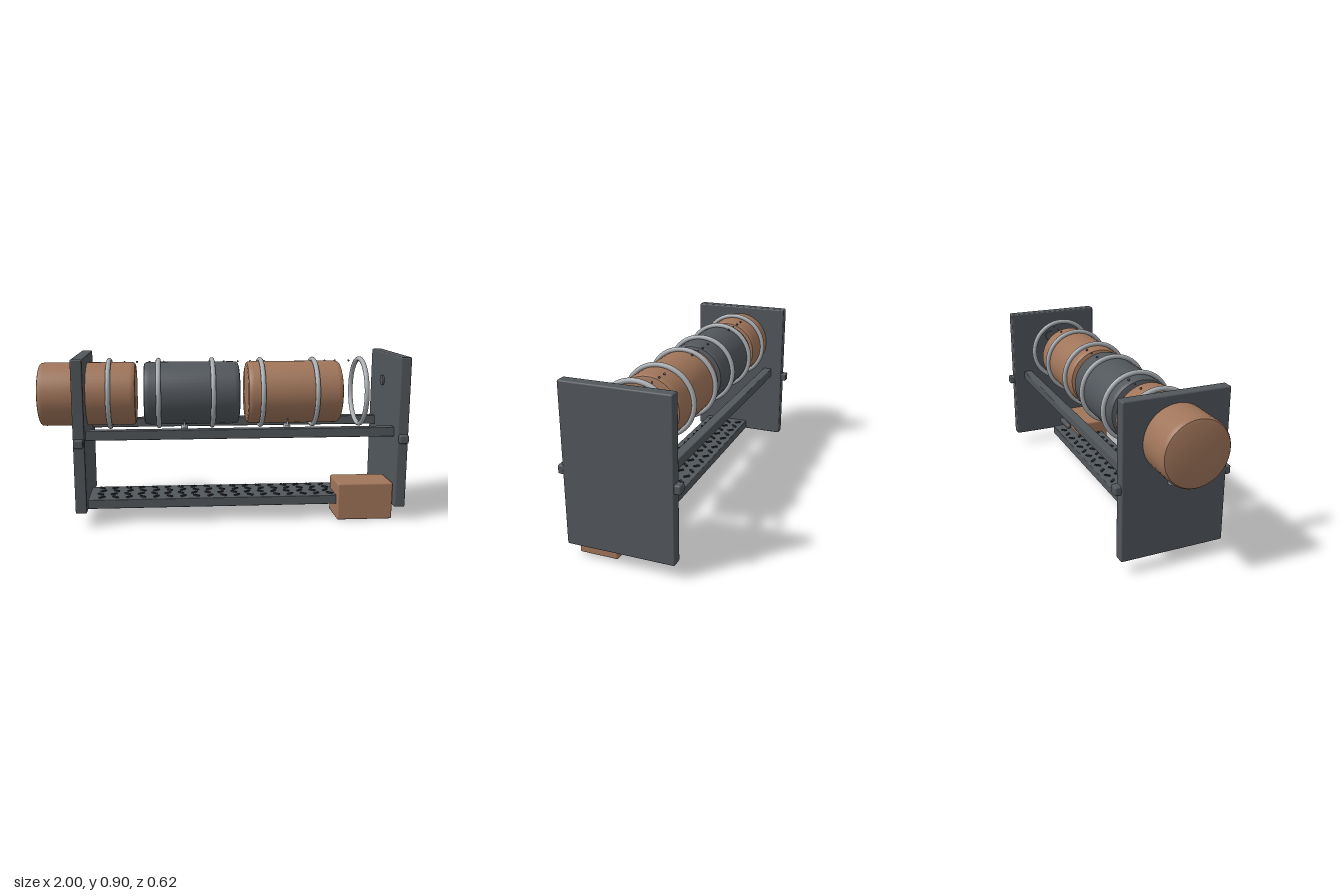
import * as THREE from 'three';
import { RoundedBoxGeometry } from 'three/addons/geometries/RoundedBoxGeometry.js';
import { toCreasedNormals } from 'three/addons/utils/BufferGeometryUtils.js';

function material(name, color) {
  const m = new THREE.MeshStandardMaterial({ color });
  m.name = name;
  return m;
}

export function createModel() {
  const steel = material('dark steel', 0x52575c);
  const copper = material('brown copper', 0xa0755a);
  const silver = material('light metal', 0xa9adb1);
  const black = material('tread black', 0x2b2e31);
  const root = new THREE.Group();
  root.name = 'drumRack';

  function add(name, geometry, mat, x, y, z, parent = root) {
    const mesh = new THREE.Mesh(geometry, mat);
    mesh.name = name;
    mesh.position.set(x, y, z);
    parent.add(mesh);
    return mesh;
  }
  const box = (w, h, d, r) => (r ? new RoundedBoxGeometry(w, h, d, 2, r) : new THREE.BoxGeometry(w, h, d));

  const axisY = 0.687;

  // End plates, each with a cross bar showing as a knob at both edges
  for (const [side, x] of [['right', -0.77], ['left', 0.968]]) {
    add(side + 'EndPlate', box(0.06, 0.826, 0.56, 0.008), steel, x, 0.492, 0);
    for (const s of [-1, 1]) add(side + 'PlateKnob', box(0.05, 0.046, 0.06, 0.008), steel, x, 0.464, s * 0.28);
  }

  // Long rails under the drums
  for (const s of [-1, 1]) add('rail', box(1.72, 0.052, 0.05, 0.004), steel, 0.09, 0.49, s * 0.189);

  // Three drums with softened rims
  const half = 0.263;
  const profile = [
    [0, -half], [0.155, -half], [0.167, -half + 0.004], [0.173, -half + 0.012], [0.175, -half + 0.03],
    [0.175, half - 0.03], [0.173, half - 0.012], [0.167, half - 0.004], [0.155, half], [0, half],
  ].map(([r, y]) => new THREE.Vector2(r, y));
  const drumGeometry = toCreasedNormals(new THREE.LatheGeometry(profile, 48), 0.6);
  drumGeometry.rotateZ(Math.PI / 2);
  [-0.737, -0.167, 0.403].forEach((x, i) => {
    add('drum', drumGeometry, i === 1 ? steel : copper, x, axisY, 0);
  });

  // Support hoops
  const hoopGeometry = new THREE.TorusGeometry(0.184, 0.0135, 12, 48);
  hoopGeometry.rotateY(Math.PI / 2);
  for (const x of [-0.62, -0.35, -0.052, 0.22, 0.518, 0.788]) add('hoop', hoopGeometry, silver, x, axisY, 0);

  // Row of small beads along the top
  const beadGeometry = new THREE.SphereGeometry(0.006, 8, 6);
  for (const x of [-0.54, -0.47, -0.4, -0.32, 0.02, 0.1, 0.17, 0.25, 0.6, 0.66, 0.74, 0.82]) {
    add('bead', beadGeometry, steel, x, 0.856, -0.065);
  }

  // Walkway with a staggered tread pattern
  add('walkway', box(1.58, 0.05, 0.27, 0.004), steel, 0.05, 0.11, 0.08);
  const treadGeometry = box(0.036, 0.008, 0.013);
  for (let i = 0; i < 20; i++) {
    for (let j = 0; j < 4; j++) {
      const x = -0.68 + i * 0.0745 + (j % 2) * 0.012;
      const z = -0.015 + j * 0.062;
      if (x > 0.62 && z > 0.03) continue;
      const tread = add('tread', treadGeometry, black, x, 0.138, z);
      tread.rotation.y = ((i + j) % 2 ? 1 : -1) * Math.PI / 4;
    }
  }

  // Drive box and the lever beside it
  add('driveBox', box(0.308, 0.207, 0.207, 0.01), copper, 0.781, 0.1065, 0.149);
  const lever = new THREE.CapsuleGeometry(0.017, 0.12, 4, 10);
  lever.rotateZ(Math.PI / 2);
  add('lever', lever, steel, 0.81, 0.155, 0.022);

  // Small probes hanging below the drums
  for (const x of [-0.21, 0.36]) {
    const probe = new THREE.Group();
    probe.name = 'probe';
    probe.position.set(x, 0, 0.08);
    root.add(probe);
    add('probeFoot', box(0.1, 0.008, 0.07), silver, 0, 0.466, 0, probe);
    add('probePost', new THREE.CylinderGeometry(0.012, 0.012, 0.055, 12), silver, 0, 0.495, 0.01, probe);
    add('probeHead', new THREE.SphereGeometry(0.02, 12, 8), silver, 0, 0.51, 0.03, probe);
    add('probeTip', new THREE.ConeGeometry(0.01, 0.05, 10), silver, 0, 0.54, 0.05, probe);
  }

  // Fittings on the end plates
  const boss = new THREE.CylinderGeometry(0.032, 0.032, 0.012, 6);
  boss.rotateZ(Math.PI / 2);
  add('hexBoss', boss, steel, 0.934, 0.745, -0.03);
  add('drainLip', box(0.11, 0.01, 0.08), silver, -0.775, 0.467, 0);

  return root;
}
